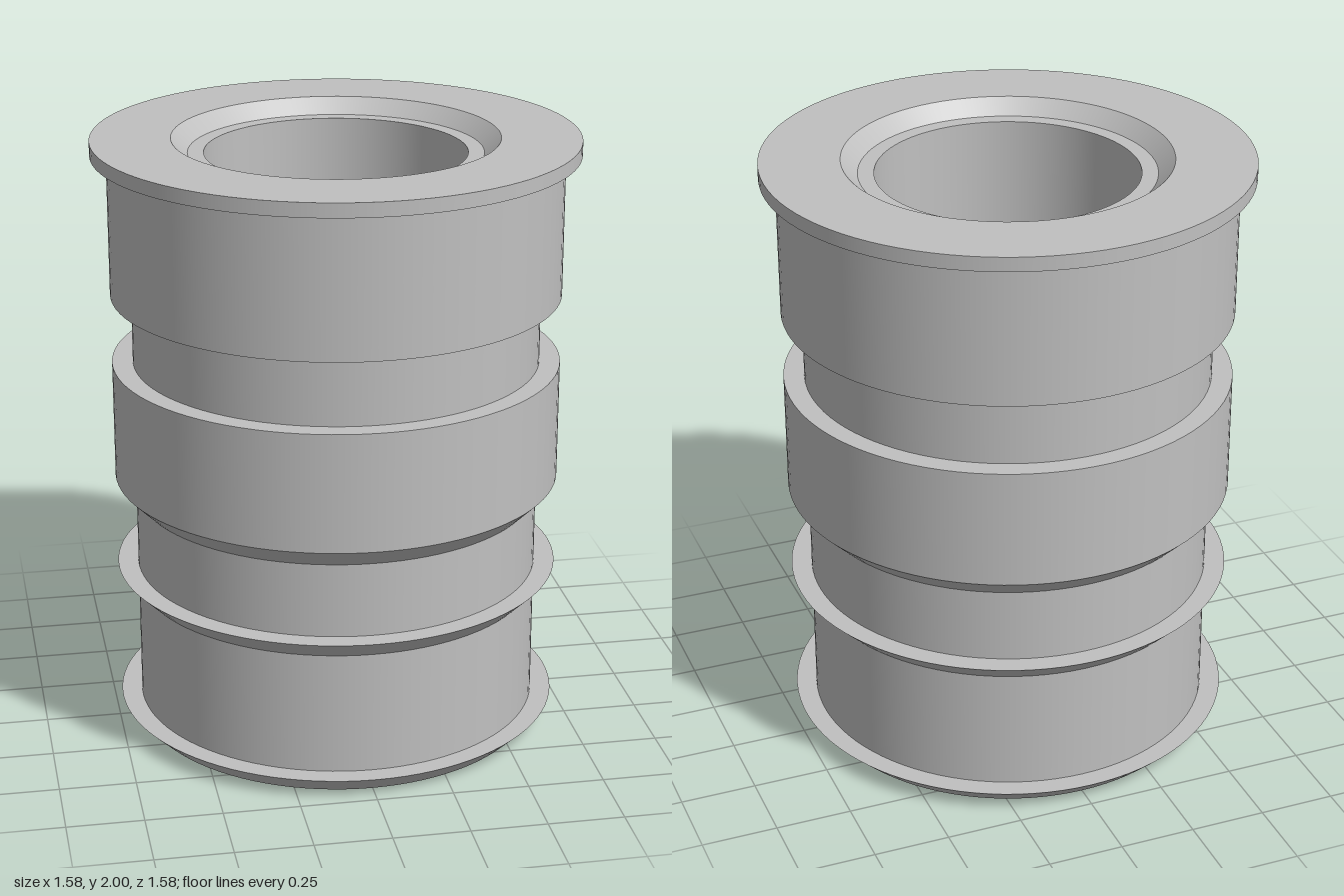
import * as THREE from 'three';
import { mergeGeometries } from 'three/addons/utils/BufferGeometryUtils.js';

const SEGMENTS = 96;

// Turns a profile of [radius, height] points, keeping a sharp edge at each point.
function turned(profile) {
  const bands = [];
  for (let i = 0; i < profile.length - 1; i++) {
    const pair = [profile[i], profile[i + 1]].map(([r, y]) => new THREE.Vector2(r, y));
    bands.push(new THREE.LatheGeometry(pair, SEGMENTS));
  }
  return mergeGeometries(bands);
}

export function createModel() {
  const group = new THREE.Group();
  const metal = new THREE.MeshStandardMaterial({ color: 0xc0c0c0 });
  metal.name = 'grey metal';

  const neck = 0.67, collar = 0.738, rim = 0.79, bore = 0.425, mouth = 0.53;

  // Outer profiles run upwards, the bore runs downwards
  const parts = {
    bottomFace: [[mouth, 0], [neck, 0]],
    bottomBarb: [[neck, 0], [collar, 0.066], [neck, 0.066]],
    lowerNeck: [[neck, 0.066], [neck, 0.478]],
    middleBarb: [[neck, 0.478], [collar, 0.545], [neck, 0.545]],
    middleNeck: [[neck, 0.545], [neck, 0.793]],
    lowerCollar: [[neck, 0.793], [collar, 0.861], [collar, 1.255], [neck, 1.255]],
    upperNeck: [[neck, 1.255], [neck, 1.487]],
    upperCollar: [[neck, 1.487], [collar, 1.487], [collar, 1.953]],
    topFlange: [[collar, 1.953], [rim, 1.953], [rim, 2], [mouth, 2]],
    topCountersink: [[mouth, 2], [0.477, 1.95], [bore, 1.95]],
    boreWall: [[bore, 1.95], [bore, 0.105]],
    bottomCountersink: [[bore, 0.105], [mouth, 0]],
  };

  for (const [name, profile] of Object.entries(parts)) {
    const mesh = new THREE.Mesh(turned(profile), metal);
    mesh.name = name;
    group.add(mesh);
  }
  return group;
}
